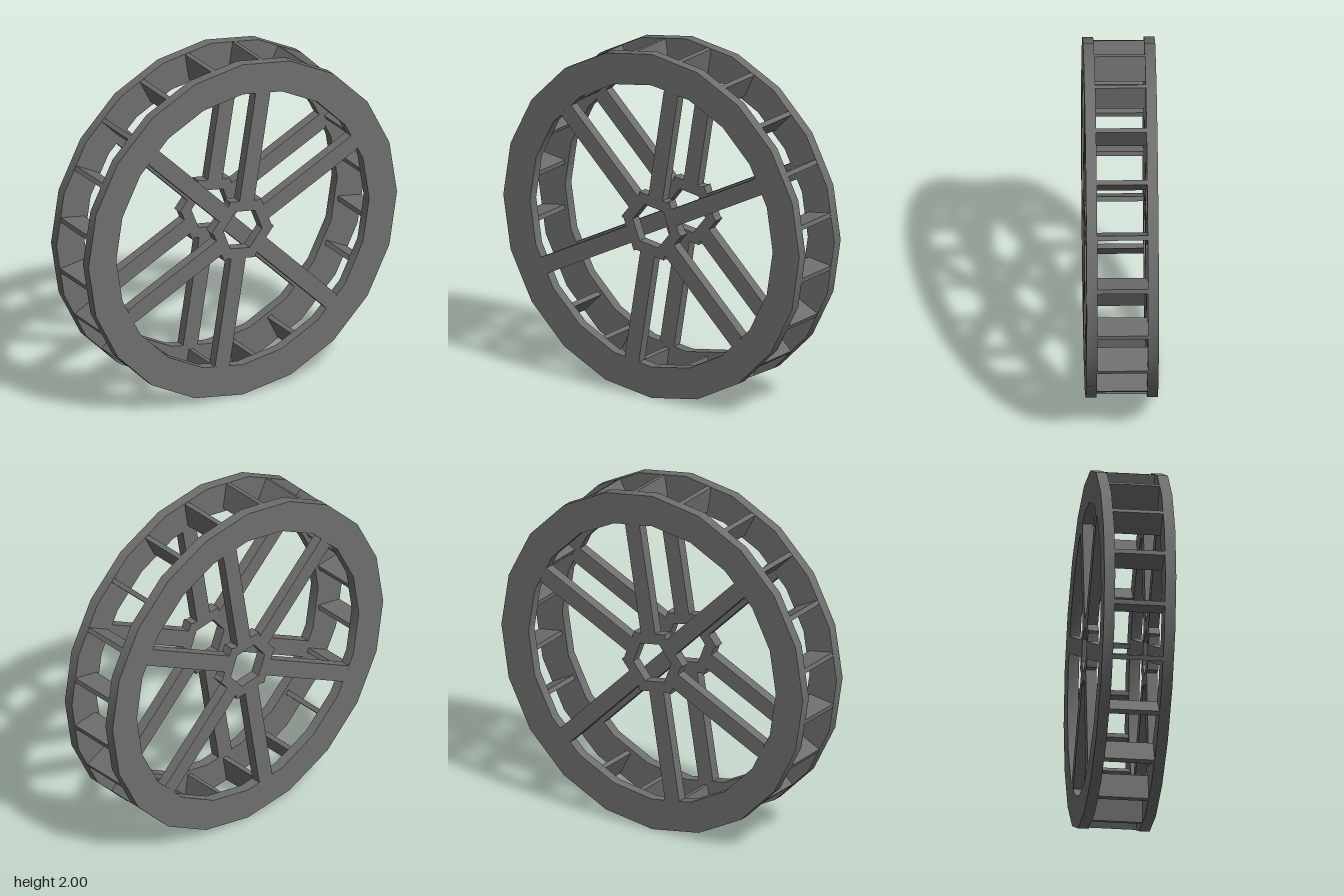
import * as THREE from 'three';
import { toCreasedNormals } from 'three/addons/utils/BufferGeometryUtils.js';

const SIDES = 20;
const STEP = (Math.PI * 2) / SIDES;
const RIM_OUTER = 1, RIM_INNER = 0.82;
const SIDE_THICKNESS = 0.06, SIDE_Z = 0.17;
const HUB_INNER = 0.11, HUB_OUTER = 0.17;
const { degToRad } = THREE.MathUtils;
// Spokes meet the rim near the middle of its facets
const SPOKE_ANGLES = [26.6, 80.6, 135.4, 206.6, 260.6, 315.4].map(degToRad);

const material = new THREE.MeshStandardMaterial({ color: 0x6e6e6e });

function polygon(radius) {
  return Array.from({ length: SIDES }, (_, i) =>
    new THREE.Vector2(radius * Math.cos(i * STEP), radius * Math.sin(i * STEP)));
}

// Box reaching from one radius to another along a direction from the axle,
// optionally shifted sideways (counter-clockwise)
function radialBox(name, angle, from, to, width, depth, shift = 0) {
  const geometry = new THREE.BoxGeometry(to - from, width, depth);
  geometry.translate((from + to) / 2, shift, 0);
  const mesh = new THREE.Mesh(geometry, material);
  mesh.rotation.z = angle;
  mesh.name = name;
  return mesh;
}

function createSide(name) {
  const side = new THREE.Group();
  side.name = name;

  // Flat rim with softly shaded edge walls
  const shape = new THREE.Shape(polygon(RIM_OUTER));
  shape.holes.push(new THREE.Path(polygon(RIM_INNER)));
  const rimGeometry = new THREE.ExtrudeGeometry(shape, { depth: SIDE_THICKNESS, bevelEnabled: false });
  rimGeometry.translate(0, 0, -SIDE_THICKNESS / 2);
  const rim = new THREE.Mesh(toCreasedNormals(rimGeometry, degToRad(30)), material);
  rim.name = 'rim';
  side.add(rim);

  // Spokes from the hub to the rim
  const rimFacet = RIM_INNER * Math.cos(STEP / 2);
  for (const angle of SPOKE_ANGLES) {
    side.add(radialBox('spoke', angle, 0.14, rimFacet, 0.096, SIDE_THICKNESS));
  }

  // Open hexagonal hub of six blocks, each overshooting the next one
  for (let i = 0; i < 6; i++) {
    side.add(radialBox('hubBlock', degToRad(81 + i * 60), HUB_INNER, HUB_OUTER, 0.19, SIDE_THICKNESS, 0.015));
  }
  return side;
}

export function createModel() {
  const wheel = new THREE.Group();
  wheel.name = 'waterWheel';

  // Two matching side frames
  for (const [name, sign] of [['frontFrame', 1], ['backFrame', -1]]) {
    const side = createSide(name);
    side.position.z = sign * SIDE_Z;
    wheel.add(side);
  }

  // Radial paddles bridging the two rims
  const paddleDepth = 2 * SIDE_Z - SIDE_THICKNESS;
  for (let i = 0; i < SIDES; i++) {
    wheel.add(radialBox('paddle', (i + 0.5) * STEP, 0.833, 0.986, 0.027, paddleDepth));
  }

  wheel.position.y = RIM_OUTER;
  const model = new THREE.Group();
  model.add(wheel);
  return model;
}
